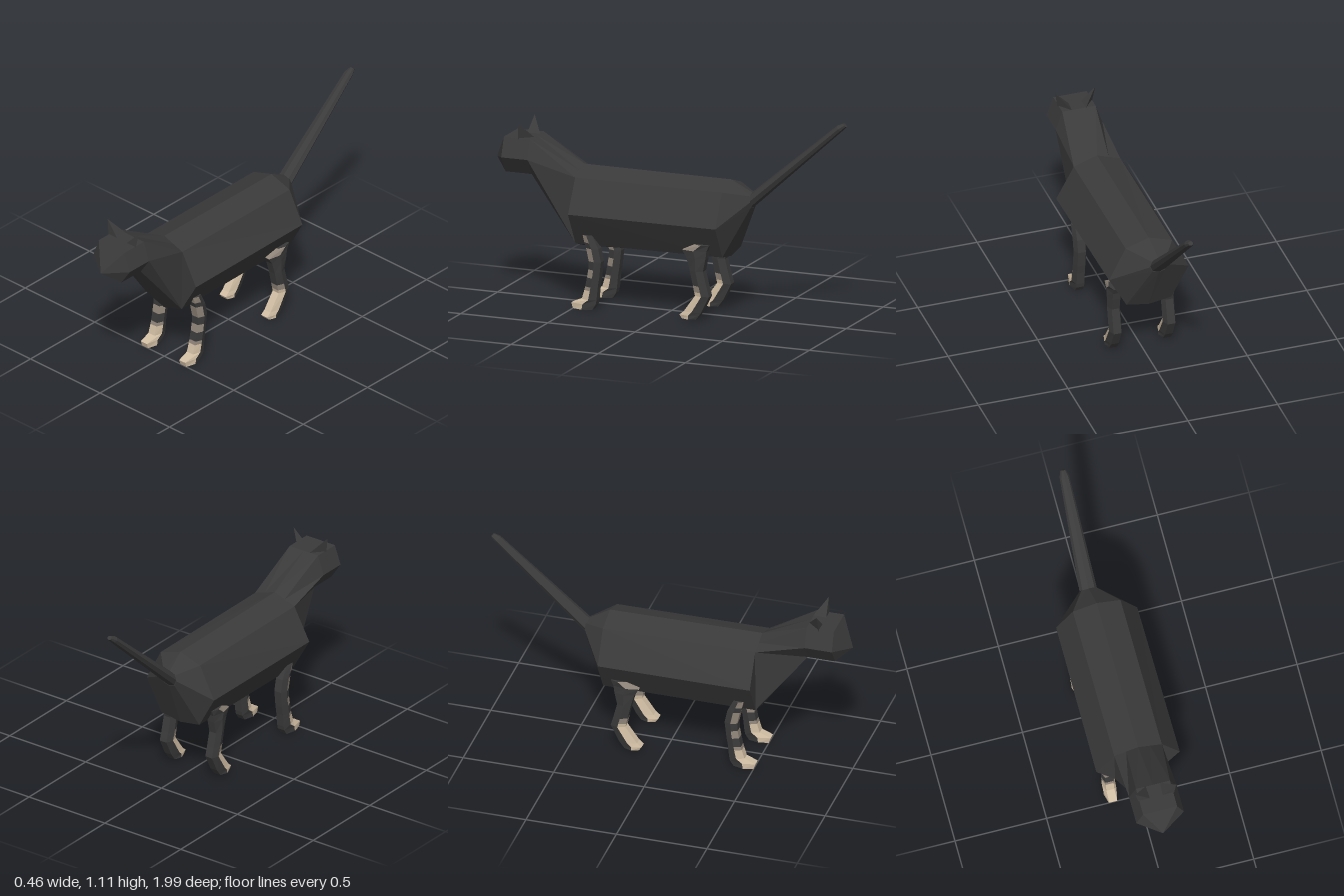
import * as THREE from 'three';

function makeMaterial(name, color) {
  const material = new THREE.MeshStandardMaterial({ color: color, flatShading: true });
  material.name = name;
  return material;
}

// Skin a list of rings, each counter-clockwise seen from the last ring's end;
// paint(i, j) picks the material index of each face
function loft(name, rings, mats, paint) {
  const pos = [];
  const geo = new THREE.BufferGeometry();
  const n = rings[0].length;

  function tri(m, p, q, r) {
    const a = new THREE.Vector3().fromArray(p);
    const b = new THREE.Vector3().fromArray(q).sub(a);
    const c = new THREE.Vector3().fromArray(r).sub(a);
    if (b.cross(c).length() < 1e-8) return;
    geo.addGroup(pos.length / 3, 3, m);
    pos.push(...p, ...q, ...r);
  }

  for (let i = 0; i < rings.length - 1; i++) {
    for (let j = 0; j < n; j++) {
      const k = (j + 1) % n;
      const m = paint(i, j);
      tri(m, rings[i][j], rings[i][k], rings[i + 1][k]);
      tri(m, rings[i][j], rings[i + 1][k], rings[i + 1][j]);
    }
  }
  // End caps
  const first = rings[0];
  const last = rings[rings.length - 1];
  for (let j = 1; j < n - 1; j++) {
    tri(0, first[0], first[j + 1], first[j]);
    tri(0, last[0], last[j], last[j + 1]);
  }
  geo.setAttribute('position', new THREE.Float32BufferAttribute(pos, 3));
  geo.computeVertexNormals();
  const mesh = new THREE.Mesh(geo, mats);
  mesh.name = name;
  return mesh;
}

const allDark = () => 0;

// Eight-point ring at depth z: bottom, three points up the +x side, top, mirrored three
function ring8(z, cx, bottom, side, top) {
  const up = side.map((p) => [cx + p[0], p[1], z]);
  const down = side.map((p) => [cx - p[0], p[1], z]).reverse();
  return [[cx, bottom, z], ...up, [cx, top, z], ...down];
}

// Leg rows run upward: height, back z, front z, paint of the forward faces
function leg(name, rows, cx, w, mats) {
  const rings = rows.map((row) => {
    const y = row[0];
    const zb = row[1];
    const zf = row[2];
    const zm = (zb + zf) / 2;
    return [
      [cx - w * 0.6, y, zf], [cx + w * 0.6, y, zf], [cx + w, y, zm],
      [cx + w * 0.6, y, zb], [cx - w * 0.6, y, zb], [cx - w, y, zm],
    ];
  });
  return loft(name, rings, mats, (i, j) => {
    const forward = j === 0 || j === 1 || j === 5;
    return forward ? rows[i][3] : 0;
  });
}

export function createModel() {
  const mats = [
    makeMaterial('charcoal fur', 0x3a3a3a),
    makeMaterial('cream fur', 0xd0bda3),
    makeMaterial('tan fur', 0x91867a),
  ];
  const DARK = 0, CREAM = 1, TAN = 2;
  const group = new THREE.Group();
  group.name = 'cat';

  // Octagonal trunk tapering to the tail root
  const body = [
    ring8(-0.46, -0.02, 0.605, [[0.035, 0.615], [0.05, 0.645], [0.035, 0.675]], 0.685),
    ring8(-0.34, -0.005, 0.335, [[0.125, 0.355], [0.222, 0.53], [0.13, 0.71]], 0.752),
    ring8(0.5, 0, 0.31, [[0.125, 0.35], [0.228, 0.53], [0.13, 0.71]], 0.755),
  ];
  group.add(loft('body', body, mats, allDark));

  // Neck rising from the chest to the back of the head
  const headSide = [[0.07, 0.69], [0.13, 0.78], [0.093, 0.885]];
  const headBack = ring8(0.77, 0.01, 0.69, headSide, 0.885);
  const headFront = ring8(0.92, 0.01, 0.69, headSide, 0.885);
  const neckBase = ring8(0.5, 0, 0.31, [[0.125, 0.35], [0.13, 0.71], [0.065, 0.7325]], 0.755);
  group.add(loft('neck', [neckBase, headBack], mats, allDark));

  // Head with a pointed muzzle and tan chin
  const nose = headFront.map(() => [0.005, 0.75, 1.0]);
  group.add(loft('head', [headBack, headFront, nose], mats, (i, j) => (j === 0 || j === 7 ? TAN : DARK)));

  // Ears: three-sided spikes leaning outward
  for (const s of [-1, 1]) {
    const base = [[0.095, 0.865, 0.84], [0.03, 0.88, 0.84], [0.035, 0.88, 0.765]]
      .map((p) => [0.01 + s * p[0], p[1], p[2]]);
    // Keep the corners counter-clockwise from above on both sides
    if (s > 0) base.reverse();
    const tip = base.map(() => [0.01 + s * 0.112, 0.967, 0.83]);
    group.add(loft(s > 0 ? 'leftEar' : 'rightEar', [base, tip], mats, allDark));
  }

  // Straight raised tail with a blunt tip: y, z, half width, half thickness
  const tail = [
    [0.635, -0.44, 0.048, 0.034],
    [1.088, -0.955, 0.026, 0.02],
    [1.108, -0.985, 0.014, 0.012],
  ].map((t) => {
    const ring = [];
    for (let j = 0; j < 8; j++) {
      const a = (j / 8) * Math.PI * 2;
      const lift = t[3] * Math.cos(a);
      ring.push([-0.02 + t[2] * Math.sin(a), t[0] + 0.75 * lift, t[1] + 0.66 * lift]);
    }
    return ring;
  });
  group.add(loft('tail', tail, mats, allDark));

  // Banded legs with forward-stepping paws
  const frontRows = [
    [0.005, 0.39, 0.5, CREAM], [0.035, 0.37, 0.51, CREAM], [0.06, 0.365, 0.45, CREAM],
    [0.11, 0.36, 0.435, TAN], [0.13, 0.358, 0.43, DARK], [0.18, 0.35, 0.42, TAN],
    [0.225, 0.345, 0.412, DARK], [0.27, 0.34, 0.41, TAN], [0.34, 0.355, 0.425, DARK],
    [0.37, 0.37, 0.435, TAN], [0.41, 0.39, 0.445, DARK],
  ];
  const backRows = [
    [0.015, -0.21, -0.13, CREAM], [0.035, -0.225, -0.115, CREAM], [0.055, -0.24, -0.14, CREAM],
    [0.145, -0.285, -0.205, CREAM], [0.165, -0.28, -0.2, TAN], [0.2, -0.27, -0.192, DARK],
    [0.28, -0.25, -0.175, DARK], [0.35, -0.265, -0.155, DARK], [0.39, -0.27, -0.13, TAN],
    [0.425, -0.285, -0.2, DARK],
  ];
  for (const s of [-1, 1]) {
    const side = s > 0 ? 'left' : 'right';
    group.add(leg(side + 'FrontLeg', frontRows, s * 0.138, 0.036, mats));
    group.add(leg(side + 'BackLeg', backRows, s * 0.15, 0.036, mats));
  }
  return group;
}
